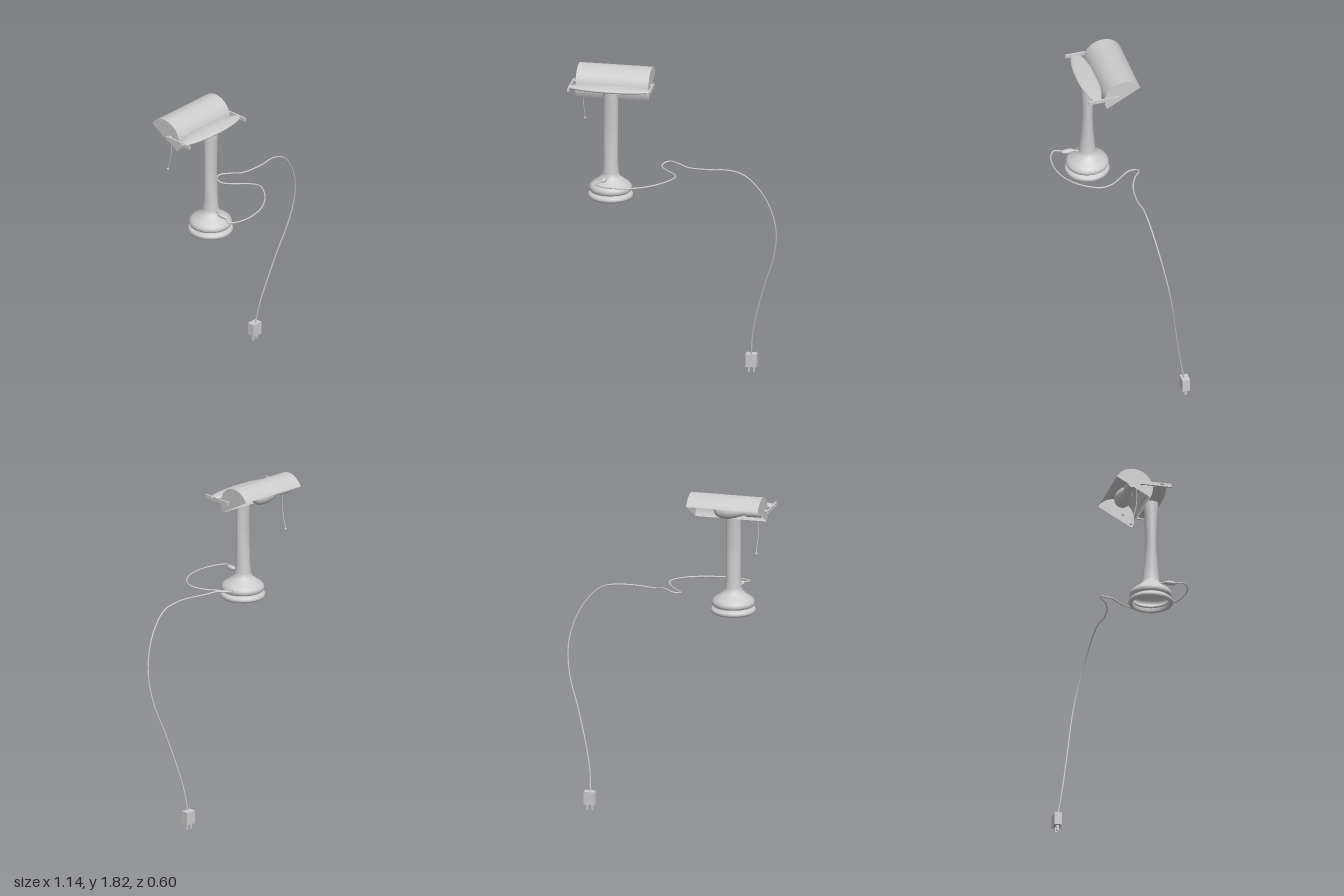
import * as THREE from 'three';

const grey = new THREE.MeshStandardMaterial({ color: 0xcccccc });
const greyBoth = new THREE.MeshStandardMaterial({ color: 0xcccccc, side: THREE.DoubleSide });
const V = (x, y, z) => new THREE.Vector3(x, y, z);

function add(parent, name, geometry, x = 0, y = 0, z = 0, material = grey) {
  const mesh = new THREE.Mesh(geometry, material);
  mesh.name = name;
  mesh.position.set(x, y, z);
  parent.add(mesh);
  return mesh;
}

function smoothProfile(points, steps) {
  return new THREE.SplineCurve(points.map(([r, y]) => new THREE.Vector2(r, y))).getPoints(steps);
}

function tube(points, segments, radius) {
  return new THREE.TubeGeometry(new THREE.CatmullRomCurve3(points), segments, radius, 8);
}

export function createModel() {
  const lamp = new THREE.Group();
  lamp.name = 'deskLamp';
  const cx = -0.755, cz = 0.073;

  // Hollow foot: two rounded rings under a bell
  const footProfile = [
    ...smoothProfile([[0.1, 1.125], [0.103, 1.106], [0.114, 1.101], [0.123, 1.108], [0.125, 1.118], [0.12, 1.128], [0.108, 1.134]], 20),
    ...smoothProfile([[0.105, 1.139], [0.115, 1.145], [0.119, 1.156], [0.117, 1.168], [0.106, 1.182], [0.084, 1.198], [0.063, 1.215], [0.051, 1.23], [0.045, 1.25]], 28),
  ];
  add(lamp, 'foot', new THREE.LatheGeometry(footProfile, 48), cx, 0, cz, greyBoth);

  // Column, waisted front to back and nearly straight across
  const column = new THREE.LatheGeometry(smoothProfile(
    [[0.047, 1.24], [0.042, 1.29], [0.036, 1.36], [0.031, 1.45], [0.031, 1.52], [0.035, 1.62], [0.04, 1.69], [0.041, 1.725]], 30), 36);
  const p = column.attributes.position;
  for (let i = 0; i < p.count; i++) {
    const r = Math.hypot(p.getX(i), p.getZ(i));
    p.setX(i, p.getX(i) * Math.max(r, 0.042) / r);
  }
  column.computeVertexNormals();
  add(lamp, 'column', column, cx, 0, cz, greyBoth);

  // Oval top plate with a thin rounded edge
  const plate = new THREE.LatheGeometry(smoothProfile(
    [[0, -0.017], [0.6, -0.013], [0.92, -0.007], [1, 0], [0.92, 0.007], [0.6, 0.013], [0, 0.017]], 30), 64);
  plate.scale(0.236, 1, 0.057);
  plate.computeVertexNormals();
  add(lamp, 'topPlate', plate, -0.76, 1.733, 0.077);

  // Side arms with pivot pins carrying the shade
  for (const side of [-1, 1]) {
    const x = -0.759 + side * 0.225;
    add(lamp, 'sideArm', new THREE.BoxGeometry(0.01, 0.02, 0.176), x, 1.73, 0.043);
    const pin = add(lamp, 'pivotPin', new THREE.CylinderGeometry(0.007, 0.007, 0.034, 16), x - side * 0.012, 1.73, -0.033);
    pin.rotation.z = Math.PI / 2;
  }

  // Half-cylinder shade, open downward and backward, with closed ends
  const shade = new THREE.Group();
  shade.name = 'shade';
  shade.position.set(-0.757, 1.709, -0.079);
  lamp.add(shade);
  const tilt = -0.507, radius = 0.11, length = 0.412;
  const shell = new THREE.CylinderGeometry(radius, radius, length, 40, 1, true, tilt, Math.PI);
  shell.rotateZ(Math.PI / 2);
  add(shade, 'shadeShell', shell, 0, 0, 0, greyBoth);
  for (const side of [-1, 1]) {
    const cap = new THREE.CircleGeometry(radius, 40, tilt, Math.PI);
    cap.rotateY(-Math.PI / 2);
    add(shade, 'shadeEnd', cap, side * length / 2, 0, 0, greyBoth);
  }

  // Socket and bulb lying along the shade
  const socket = new THREE.CylinderGeometry(0.028, 0.028, 0.09, 24);
  socket.rotateZ(Math.PI / 2);
  add(lamp, 'socket', socket, -0.916, 1.735, -0.083);
  const bulb = new THREE.LatheGeometry(smoothProfile(
    [[0.022, 0], [0.025, 0.03], [0.04, 0.07], [0.049, 0.12], [0.043, 0.165], [0.022, 0.188], [0, 0.194]], 32), 32);
  bulb.rotateZ(-Math.PI / 2);
  add(lamp, 'bulb', bulb, -0.88, 1.735, -0.083);

  // Pull chain with end bead
  add(lamp, 'pullChain', tube([V(-0.935, 1.72, -0.055), V(-0.935, 1.66, -0.053), V(-0.934, 1.59, -0.06),
    V(-0.931, 1.54, -0.074), V(-0.93, 1.497, -0.087)], 24, 0.0025));
  add(lamp, 'chainBead', new THREE.SphereGeometry(0.007, 12, 10), -0.93, 1.497, -0.087);

  // Inline switch near the foot
  const inlineSwitch = new THREE.SphereGeometry(1, 24, 16);
  inlineSwitch.scale(0.016, 0.012, 0.037);
  add(lamp, 'inlineSwitch', inlineSwitch, -0.772, 1.237, 0.18);

  // Power cord: a loose curl beside the foot, then a hanging drop to the plug
  const curl = [
    [-0.757, 1.235, 0.1], [-0.77, 1.237, 0.18], [-0.79, 1.235, 0.225], [-0.802, 1.232, 0.25], [-0.768, 1.23, 0.278],
    [-0.68, 1.23, 0.294], [-0.556, 1.233, 0.27], [-0.45, 1.24, 0.2], [-0.387, 1.245, 0.1], [-0.406, 1.24, 0.03],
    [-0.46, 1.236, -0.037], [-0.497, 1.239, -0.09], [-0.487, 1.248, -0.132], [-0.46, 1.254, -0.139],
    [-0.406, 1.258, -0.1], [-0.34, 1.248, -0.07], [-0.21, 1.25, -0.054],
  ].map(c => V(...c));
  const drop = [
    [-0.12, 1.25], [-0.05, 1.235], [0.005, 1.198], [0.075, 1.107], [0.12, 1], [0.139, 0.877],
    [0.121, 0.727], [0.066, 0.556], [0.014, 0.37], [-0.016, 0.235], [-0.028, 0.1],
  ].map(([x, y]) => V(x, y, -0.067 - 0.18 * (1.235 - y)));
  add(lamp, 'powerCord', tube([...curl, ...drop], 260, 0.0045));

  // Wall plug with two prongs
  const plug = new THREE.Group();
  plug.name = 'plug';
  plug.position.set(-0.027, 0, -0.276);
  lamp.add(plug);
  add(plug, 'plugBody', new THREE.BoxGeometry(0.062, 0.074, 0.043), 0, 0.07, 0);
  for (const side of [-1, 1]) {
    add(plug, 'prong', new THREE.BoxGeometry(0.009, 0.04, 0.015), side * 0.014, 0.02, 0);
  }

  return lamp;
}
